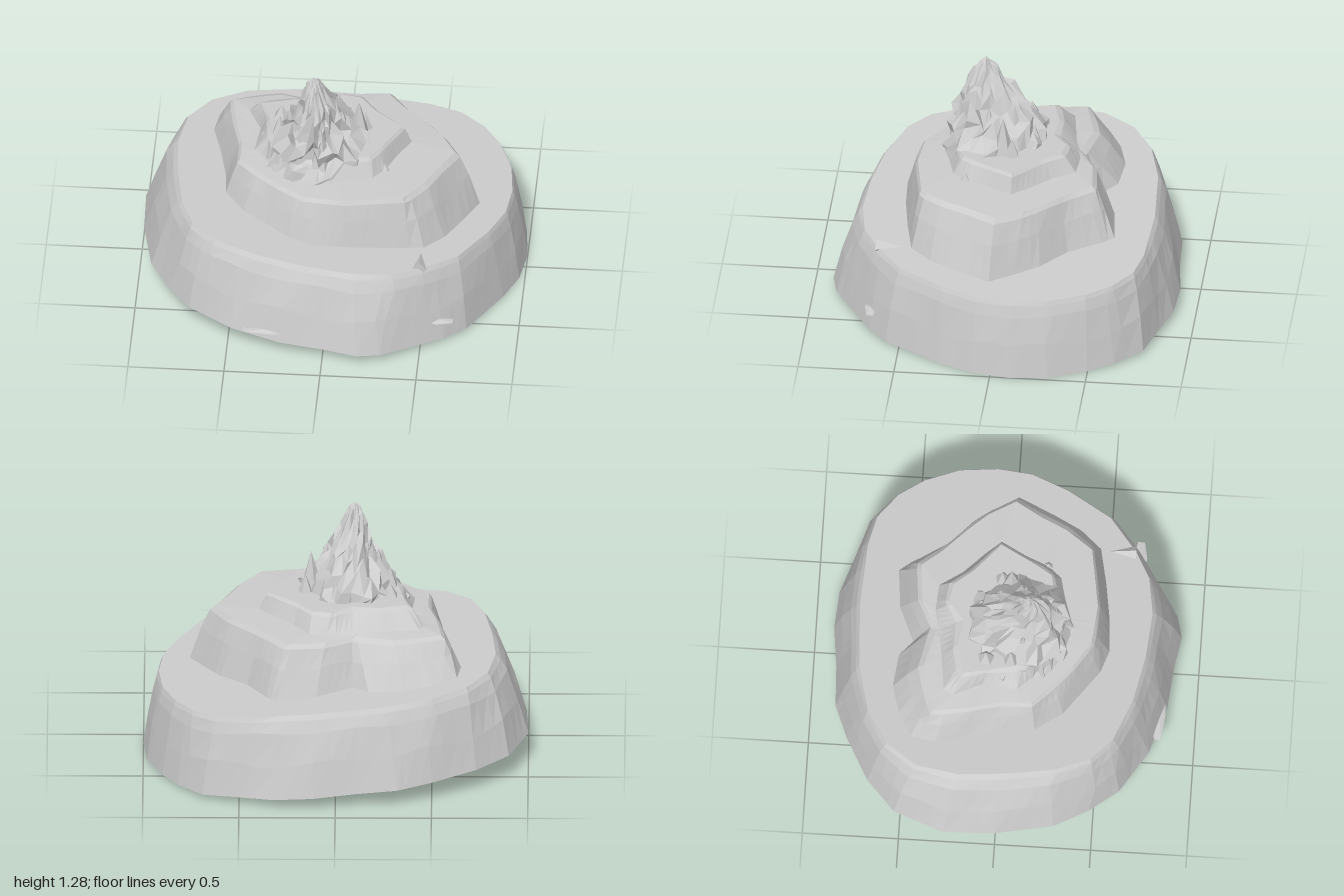
import * as THREE from 'three';

const material = new THREE.MeshStandardMaterial({ color: 0xcccccc, flatShading: true, side: THREE.DoubleSide });

// Small seeded random, 0..1
function seeded(seed) {
  return () => {
    seed = (seed * 16807) % 2147483647;
    return seed / 2147483647;
  };
}

// Skin a stack of closed rings (equal point counts)
function loft(name, rings) {
  const n = rings[0].length, index = [];
  for (let r = 0; r < rings.length - 1; r++) {
    for (let i = 0; i < n; i++) {
      const a = r * n + i, b = r * n + (i + 1) % n;
      index.push(a, a + n, b, b, a + n, b + n);
    }
  }
  const geometry = new THREE.BufferGeometry();
  geometry.setAttribute('position', new THREE.Float32BufferAttribute(rings.flat(2), 3));
  geometry.setIndex(index);
  geometry.computeVertexNormals();
  const mesh = new THREE.Mesh(geometry, material);
  mesh.name = name;
  return mesh;
}

// Plan outlines [x, z]
const baseFoot = [[1, -.1], [.98, -.3], [.9, -.5], [.82, -.63], [.69, -.77], [.5, -.83], [.32, -.89], [.12, -.905],
  [-.1, -.88], [-.32, -.87], [-.5, -.8], [-.73, -.68], [-.9, -.53], [-1, -.27], [-.99, 0], [-.93, .3], [-.83, .48],
  [-.71, .63], [-.48, .77], [-.22, .85], [0, .87], [.18, .9], [.3, .87], [.48, .76], [.62, .67], [.73, .57], [.9, .27], [.97, .1]];
const baseRim = [[.92, -.1], [.9, -.3], [.83, -.48], [.74, -.61], [.61, -.71], [.45, -.75], [.1, -.77], [-.25, -.75],
  [-.5, -.69], [-.68, -.58], [-.79, -.42], [-.83, -.2], [-.81, .05], [-.77, .3], [-.7, .48], [-.58, .59], [-.35, .68],
  [-.1, .73], [.15, .75], [.35, .72], [.5, .64], [.68, .5], [.82, .27], [.9, .08]];
const middleFoot = [[.31, -.58], [.36, -.52], [.46, -.35], [.6, -.22], [.68, -.1], [.76, .03], [.68, .2], [.6, .35],
  [.5, .46], [.3, .5], [.1, .53], [-.08, .54], [-.2, .5], [-.45, .32], [-.55, .18], [-.56, .05], [-.6, -.15],
  [-.65, -.33], [-.63, -.46], [-.5, -.53], [-.35, -.57], [-.17, -.55], [-.09, -.48], [.1, -.56]];
const middleRim = [[.25, -.46], [.33, -.36], [.45, -.24], [.55, -.13], [.63, .01], [.55, .15], [.49, .28], [.39, .42],
  [.08, .47], [-.12, .45], [-.26, .36], [-.48, .16], [-.48, 0], [-.52, -.15], [-.55, -.35], [-.3, -.41], [-.1, -.36], [.05, -.44]];
const upperFoot = [[-.46, -.25], [-.43, -.3], [-.2, -.33], [0, -.37], [.14, -.36], [.22, -.24], [.33, -.13], [.4, -.05],
  [.33, .08], [.28, .2], [.22, .27], [.1, .3], [-.05, .35], [-.15, .32], [-.25, .24], [-.41, .08], [-.39, -.1]];
const upperRim = [[-.37, -.2], [-.22, -.24], [-.08, -.22], [.02, -.3], [.12, -.28], [.2, -.18], [.35, -.05], [.26, .12],
  [.2, .22], [.08, .25], [-.05, .28], [-.15, .26], [-.3, .12], [-.33, 0]];

// Sample an outline by casting rays from a shared centre, then keep its corners
const SIDES = 72, CX = -.05, CZ = 0;
function sample(outline) {
  const points = Array.from({ length: SIDES }, (_, s) => {
    const angle = s / SIDES * Math.PI * 2, dx = Math.cos(angle), dz = Math.sin(angle);
    let far = 0;
    outline.forEach(([ax, az], i) => {
      const [bx, bz] = outline[(i + 1) % outline.length];
      const ex = bx - ax, ez = bz - az, px = ax - CX, pz = az - CZ;
      const det = dx * ez - dz * ex;
      if (Math.abs(det) < 1e-9) return;
      const t = (px * ez - pz * ex) / det, u = (px * dz - pz * dx) / det;
      if (t > 0 && u >= -1e-6 && u <= 1 + 1e-6) far = Math.max(far, t);
    });
    return [CX + dx * far, CZ + dz * far];
  });
  outline.forEach(([x, z]) => {
    const s = Math.round(Math.atan2(z - CZ, x - CX) / (Math.PI * 2) * SIDES);
    points[(s + SIDES) % SIDES] = [x, z];
  });
  return points;
}

// Wall between two outlines; steps are [inward share, height share], middle rings slightly uneven
function wall(foot, rim, footY, rimY, steps) {
  const a = sample(foot), b = sample(rim);
  return steps.map(([k, h], r) => a.map(([x, z], i) => {
    const uneven = r > 0 && r < steps.length - 1 ? .07 * Math.sin(i * .9 + r * 2) : 0;
    const px = x + (b[i][0] - x) * k, pz = z + (b[i][1] - z) * k;
    const y0 = footY(x), y1 = rimY(b[i][0]);
    return [px, y0 + (y1 - y0) * (h + uneven * (1 - h)), pz];
  }));
}

// Rugged peak: irregular rings narrowing to the summit
function peak() {
  const random = seeded(41), n = 26;
  const levels = [[.72, -.38, .2, -.18, .35], [.79, -.36, .2, -.18, .34], [.85, -.32, .18, -.18, .31],
    [.91, -.27, .13, -.16, .3], [.97, -.23, .08, -.13, .28], [1.03, -.19, .04, -.08, .27], [1.09, -.17, .01, -.03, .25],
    [1.15, -.155, -.02, .03, .23], [1.21, -.135, -.05, .07, .19], [1.25, -.12, -.07, .1, .16], [1.28, -.1, -.1, .13, .13]];
  return loft('peak', levels.map(([y, x0, x1, z0, z1], r) => Array.from({ length: n }, (_, i) => {
    const edge = r === 0 || r === levels.length - 1;
    const angle = (i + (edge ? 0 : random() - .5) * .8) / n * Math.PI * 2;
    const f = edge ? 1 : .8 + random() * .36;
    return [(x0 + x1) / 2 + Math.cos(angle) * (x1 - x0) / 2 * f,
      y + (edge ? 0 : (random() - .5) * .07 * Math.min(1, (1.29 - y) * 8)),
      (z0 + z1) / 2 + Math.sin(angle) * (z1 - z0) / 2 * f];
  })));
}

// Hollow underside: low stepped brim, then a rough cave rising into the peak
function underside(ground) {
  const random = seeded(7), outline = sample(baseFoot);
  const steps = [[.95, .02], [.9, .06], [.82, .05], [.74, .1], [.62, .09], [.52, .14], [.45, .26], [.39, .42], [.33, .6], [.28, .74]];
  return loft('underside', steps.map(([k, up], r) => outline.map(([x, z]) => {
    const rough = r > 4 && r < steps.length - 1 ? (random() - .5) * .05 : 0;
    const shift = 1 - k;
    return [x * (k + rough) - .09 * shift, ground(x * k) + up + rough, z * (k + rough) + .08 * shift];
  })));
}

function rock(name, x, y, z, radius, height, sides = 5) {
  const mesh = new THREE.Mesh(new THREE.ConeGeometry(radius, height, sides), material);
  mesh.name = name;
  mesh.position.set(x, y + height / 2, z);
  mesh.rotation.y = x * 17;
  return mesh;
}

export function createModel() {
  const group = new THREE.Group();
  group.name = 'terracedMountain';
  const ground = x => .072 - .072 * x;
  const plateau = x => .495 - .085 * x;
  const flat = y => () => y;

  // Three terraces
  const base = wall(baseFoot, baseRim, ground, plateau, [[0, 0], [.3, .42], [.65, .8], [.86, .94], [1, 1]]);
  const middle = wall(middleFoot, middleRim, plateau, flat(.74), [[0, 0], [.45, .55], [.8, .92], [1, 1]]);
  const upper = wall(upperFoot, upperRim, flat(.75), flat(.845), [[0, 0], [.7, .85], [1, 1]]);
  const inner = upper[2].map(([x, y, z]) => [-.08 + (x + .08) * .6, y, .06 + (z - .06) * .6]);
  group.add(loft('baseTerrace', [...base, middle[0]]));
  group.add(loft('middleTerrace', [...middle, upper[0]]));
  group.add(loft('upperTerrace', [...upper, inner]));
  group.add(underside(ground));
  group.add(peak());

  // Lesser spires around the summit: x, base y, z, radius, height
  [[.13, .82, .02, .065, .23], [.05, .85, .1, .07, .2], [.02, .86, -.03, .07, .2], [-.03, .9, .05, .07, .22],
    [-.22, .8, .1, .07, .23], [-.28, .78, .04, .07, .17], [-.16, .8, .23, .07, .26], [-.05, .78, .26, .07, .27],
    [-.12, .82, -.06, .07, .17], [-.28, .82, -.09, .06, .1], [0, .82, -.13, .06, .12], [.16, .82, -.03, .05, .12],
    [-.11, .98, .19, .05, .22], [.05, .76, .21, .06, .18]]
    .forEach(p => group.add(rock('spire', ...p)));

  // Loose stone, fin lying on the plateau and small ledges on the front wall
  group.add(rock('boulder', .28, .74, .2, .03, .05, 6));
  const fin = rock('plateauFin', .49, .375, .57, .04, .15, 4);
  fin.rotation.set(-Math.PI / 2, 0, 0);
  group.add(fin);
  [[-.27, .81, .17], [.58, .66, .1]].forEach(([x, z, width]) => {
    const ledge = rock('ledge', x, -.36, z, 1, 1, 6);
    ledge.scale.set(width, .012, .035);
    ledge.rotation.y = 0;
    group.add(ledge);
  });
  return group;
}
